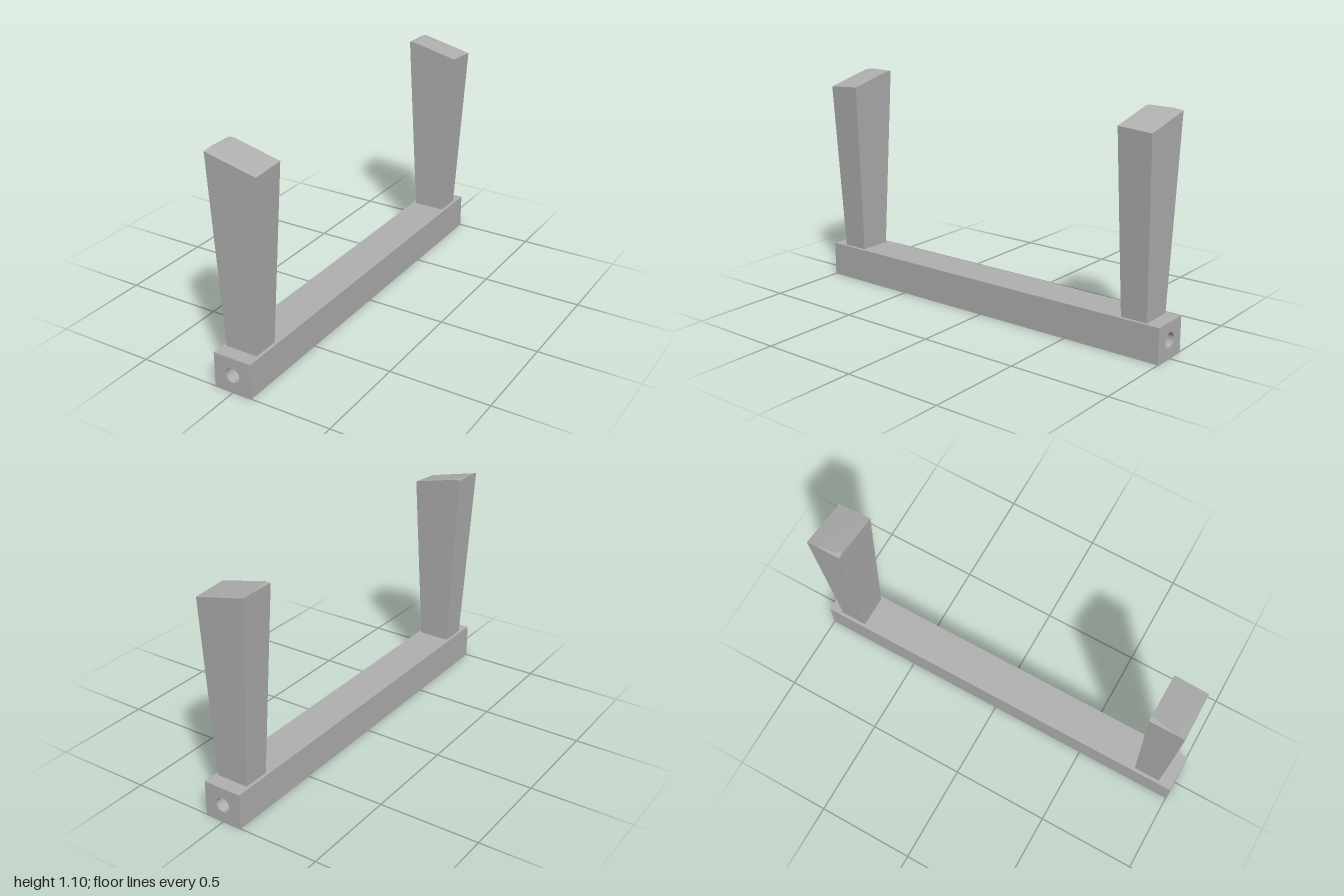
import * as THREE from 'three';
import { ConvexGeometry } from 'three/addons/geometries/ConvexGeometry.js';

const BAR_HALF = 0.0975, BAR_TOP = 0.174, POST_Z = 0.8615, MAX_Y = 1.1;

// Half sizes of the tapered post at height y
const halfX = (y) => 0.081 + (y - BAR_TOP) * 0.0535;
const halfZ = (y) => 0.067 + (y - BAR_TOP) * 0.0205;

export function createModel() {
  const model = new THREE.Group();
  model.name = 'postRack';
  const grey = new THREE.MeshStandardMaterial({ color: 0xb0b0b0 });
  grey.name = 'plainGrey';

  const add = (name, geometry) => {
    const mesh = new THREE.Mesh(geometry, grey);
    mesh.name = name;
    model.add(mesh);
  };

  // Square base bar with a round bore along its length
  const section = new THREE.Shape();
  section.moveTo(-BAR_HALF, 0);
  section.lineTo(BAR_HALF, 0);
  section.lineTo(BAR_HALF, BAR_TOP);
  section.lineTo(-BAR_HALF, BAR_TOP);
  section.closePath();
  const bore = new THREE.Path();
  bore.absarc(0, BAR_TOP / 2, 0.0365, 0, Math.PI * 2, true);
  section.holes.push(bore);
  const bar = new THREE.ExtrudeGeometry(section, { depth: 2, bevelEnabled: false, curveSegments: 24 });
  bar.translate(0, 0, -1);
  add('baseBar', bar);

  // Upright posts widen upwards; the slanted top is cut level at its highest corner
  for (const side of [1, -1]) {
    const points = [];
    // sx, sz: place within the half width and half depth, sz = 1 is the outer end
    const corner = (sx, sz, y) =>
      points.push(new THREE.Vector3(sx * halfX(y), y, side * (POST_Z + sz * halfZ(y))));
    for (const sx of [-1, 1]) for (const sz of [-1, 1]) corner(sx, sz, BAR_TOP);
    corner(1, 1, 1.035);
    corner(1, -1, 1.047);
    corner(-1, 1, 1.094);
    corner(-1, 0.45, MAX_Y);
    corner(-1, -1, MAX_Y);
    corner(-0.78, -1, MAX_Y);
    add(side > 0 ? 'frontPost' : 'backPost', new ConvexGeometry(points));
  }
  return model;
}
